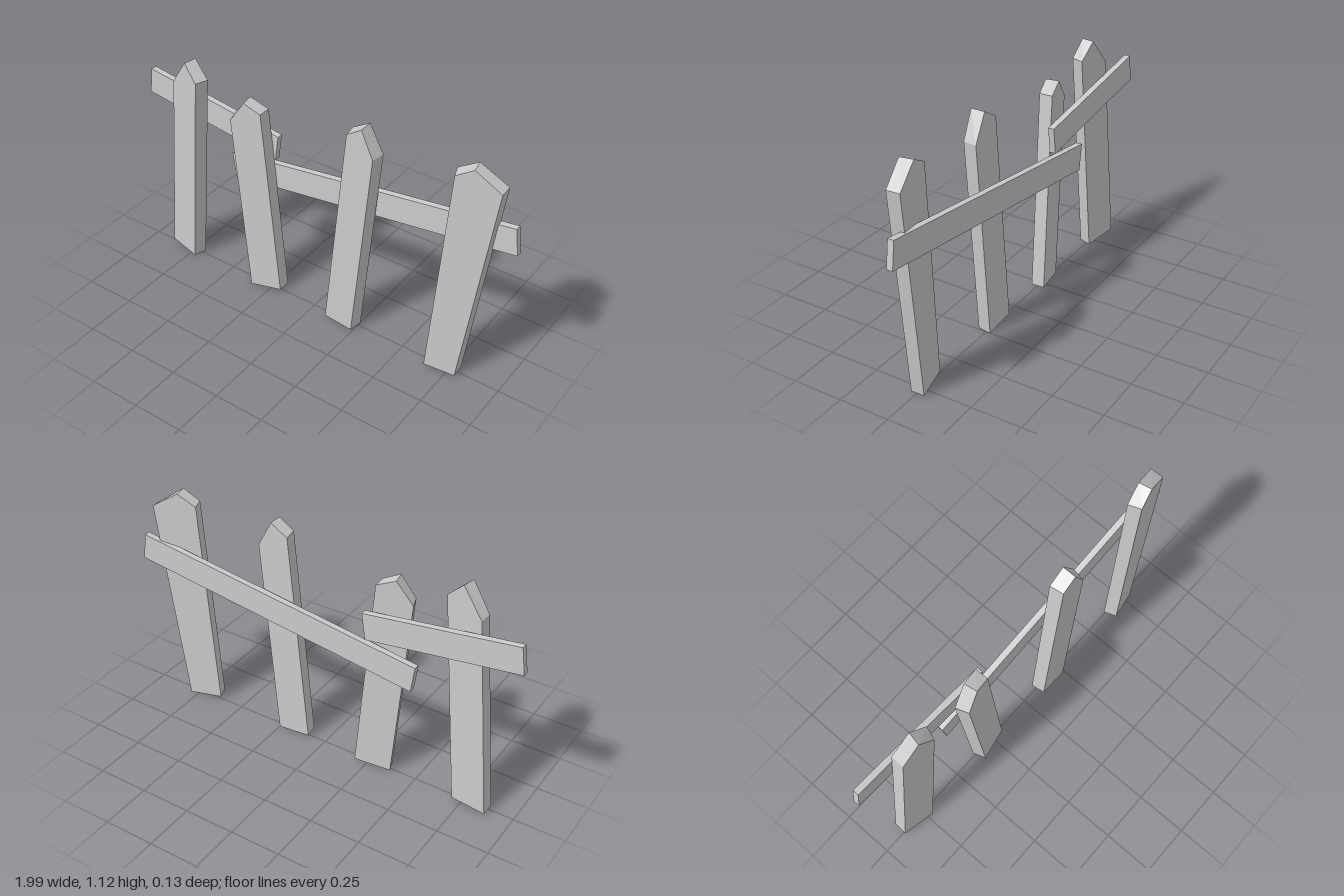
import * as THREE from 'three';

const material = new THREE.MeshStandardMaterial({
  color: 0xcccccc, flatShading: true, side: THREE.DoubleSide,
});

// Pointed board, open at the foot, slightly narrower in front than behind.
// outline: bottom left, bottom right, right shoulder, tip, left shoulder
function picket(outline, yaw, backZ, depth) {
  const centreX = outline.reduce((sum, p) => sum + p[0], 0) / outline.length;
  const insets = [1, -1, -1, 0, 1].map((s) => s * 0.01);
  const c = Math.cos(yaw);
  const back = outline.map(([x, y]) => [(x - centreX) / c, y, 0]);
  const front = back.map(([x, y], i) => [x + insets[i], y, depth]);

  const pos = [];
  const tri = (a, b, d) => pos.push(...a, ...b, ...d);
  const n = outline.length;
  for (let i = 1; i < n - 1; i++) {
    tri(front[0], front[i], front[i + 1]);
    tri(back[0], back[i + 1], back[i]);
  }
  // Side walls, leaving out the foot
  for (let i = 1; i < n; i++) {
    const j = (i + 1) % n;
    tri(back[i], back[j], front[j]);
    tri(back[i], front[j], front[i]);
  }
  const geometry = new THREE.BufferGeometry();
  geometry.setAttribute('position', new THREE.Float32BufferAttribute(pos, 3));
  geometry.computeVertexNormals();
  const mesh = new THREE.Mesh(geometry, material);
  mesh.position.set(centreX, 0, backZ);
  mesh.rotation.y = yaw;
  return mesh;
}

function rail(x, y, length, angle) {
  const mesh = new THREE.Mesh(new THREE.BoxGeometry(length, 0.132, 0.03), material);
  mesh.position.set(x, y, -0.052);
  mesh.rotation.z = THREE.MathUtils.degToRad(angle);
  return mesh;
}

export function createModel() {
  const group = new THREE.Group();
  group.name = 'brokenFence';
  const add = (name, mesh) => {
    mesh.name = name;
    group.add(mesh);
  };

  // Crooked pickets, from the model's right to its left
  add('outerRightPicket', picket(
    [[-0.88, 0.02], [-0.70, 0.005], [-0.60, 1.05], [-0.68, 1.13], [-0.78, 1.0]], -0.185, -0.026, 0.065));
  add('innerRightPicket', picket(
    [[-0.37, 0.005], [-0.195, 0.02], [-0.275, 1.0], [-0.365, 1.04], [-0.445, 0.935]], 0.185, -0.02, 0.065));
  add('innerLeftPicket', picket(
    [[0.083, 0.02], [0.25, 0.005], [0.34, 1.0], [0.27, 1.13], [0.185, 1.08]], 0, -0.022, 0.068));
  add('outerLeftPicket', picket(
    [[0.625, 0.02], [0.79, 0.005], [0.915, 1.045], [0.785, 1.13], [0.695, 1.08]], 0.19, -0.031, 0.065));

  // Sloping rails behind the pickets
  add('longRail', rail(0.245, 0.71, 1.493, 7.7));
  add('shortRail', rail(-0.615, 0.848, 0.757, -8));

  return group;
}
